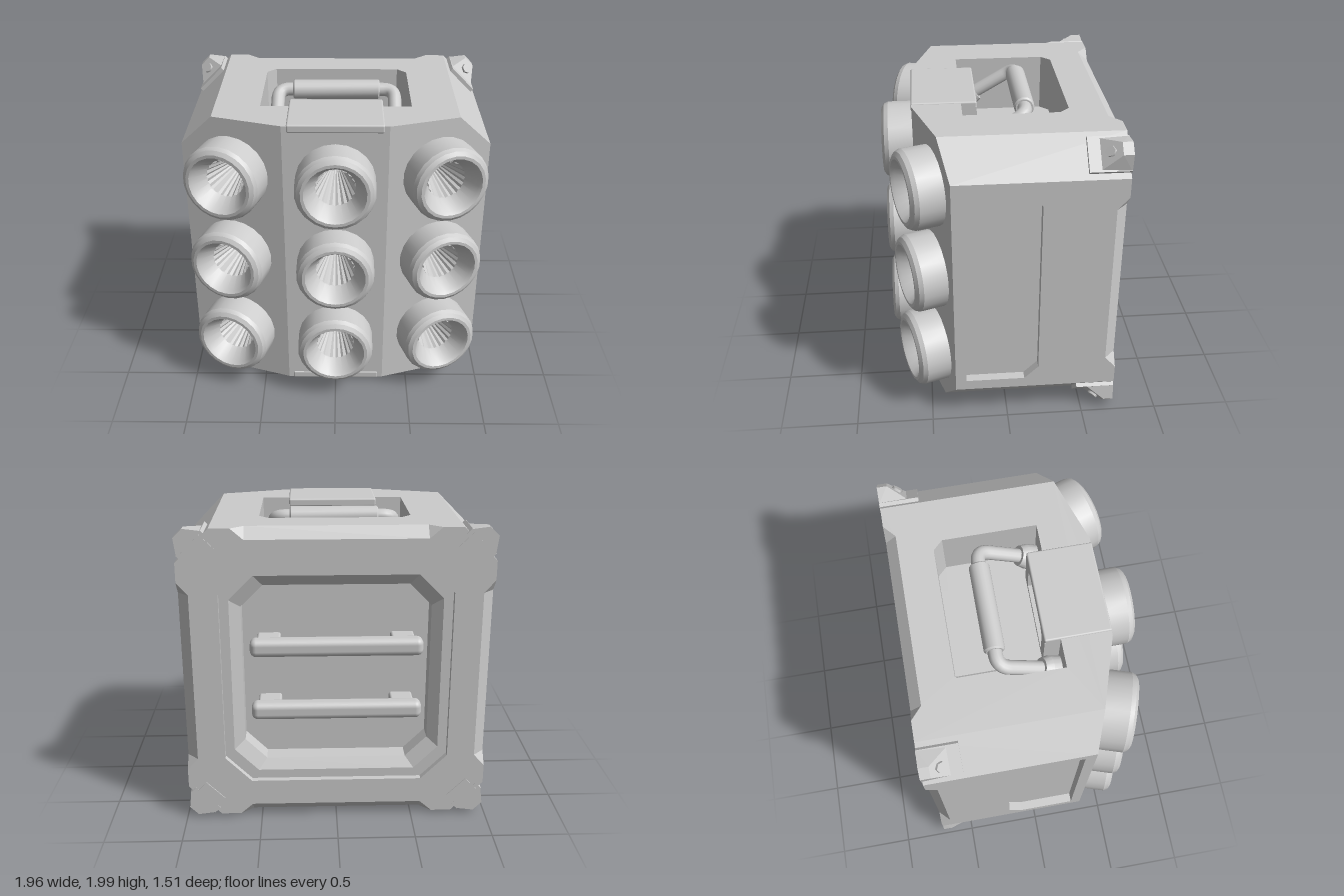
import * as THREE from 'three';
import { mergeGeometries, toCreasedNormals } from 'three/addons/utils/BufferGeometryUtils.js';
import { RoundedBoxGeometry } from 'three/addons/geometries/RoundedBoxGeometry.js';
import { ConvexGeometry } from 'three/addons/geometries/ConvexGeometry.js';

// Half sizes of the body, corner chamfer, front and back planes (y measured from mid height)
const W = 0.98, H = 0.975, C = 0.21, F = 0.55, B = 0.71, MID = 1.005;
const FX = 0.33, SLOPE = 0.323, TILT = 0.313;
const ROWS = [-0.605, 0, 0.605];

const grey = new THREE.MeshStandardMaterial({ color: 0xcccccc, side: THREE.DoubleSide });
grey.name = 'light grey';

const frontZ = (x) => F - Math.max(0, Math.abs(x) - FX) * SLOPE;
const vec = (p) => p.map(([x, y]) => new THREE.Vector2(x, y));

function add(parent, name, geo, x = 0, y = 0, z = 0) {
  const m = new THREE.Mesh(geo, grey);
  m.name = name;
  m.position.set(x, y, z);
  parent.add(m);
  return m;
}

function triangles(points) {
  const g = new THREE.BufferGeometry();
  g.setAttribute('position', new THREE.Float32BufferAttribute(points.flat(), 3));
  g.computeVertexNormals();
  return g;
}

// Flat polygon with holes, placed in space by map(u, v, depth)
function face(map, outline, holes = [], depth = 0) {
  const shape = new THREE.Shape(vec(outline));
  holes.forEach((h) => shape.holes.push(new THREE.Path(vec(h))));
  const p = new THREE.ShapeGeometry(shape).toNonIndexed().attributes.position;
  const out = [];
  for (let i = 0; i < p.count; i++) out.push(map(p.getX(i), p.getY(i), depth));
  return triangles(out);
}

// Recess made of loops at growing depths, closed by a floor
function pocket(map, rings) {
  const out = [];
  for (let r = 0; r + 1 < rings.length; r++) {
    const [a, da] = rings[r], [b, db] = rings[r + 1];
    a.forEach((_, i) => {
      const j = (i + 1) % a.length;
      const p = map(...a[i], da), q = map(...a[j], da), s = map(...b[j], db), t = map(...b[i], db);
      out.push(p, q, s, p, s, t);
    });
  }
  const [floor, d] = rings[rings.length - 1];
  return mergeGeometries([triangles(out), face(map, floor, [], d)]);
}

const octagon = (a, b, c) => [[a, -b + c], [a, b - c], [a - c, b], [-a + c, b],
  [-a, b - c], [-a, -b + c], [-a + c, -b], [a - c, -b]];

const ellipse = (cx, cy, rx, ry) => Array.from({ length: 24 }, (_, i) => {
  const t = (i / 24) * Math.PI * 2;
  return [cx + Math.cos(t) * rx, cy + Math.sin(t) * ry];
});

// Tapered bevel cut into a back edge
function bevel(map) {
  const a = [0.64, 0, 0], b = [0.56, 0, 0.07], c = [0.56, 0.07, 0];
  const m = ([u, d, z]) => map(u, z - B, d), n = ([u, d, z]) => map(-u, z - B, d);
  return triangles([m(b), n(b), n(c), m(b), n(c), m(c), m(a), m(b), m(c), n(a), n(c), n(b)]);
}

function buildBody(body) {
  // Front: centre panel and two slanted panels with openings for the barrels
  const flat = (u, v) => [u, v, frontZ(u)];
  add(body, 'frontCentrePanel', face(flat, [[-FX, -H], [FX, -H], [FX, H], [-FX, H]],
    ROWS.map((y) => ellipse(0, y, 0.16, 0.16))));
  for (const s of [1, -1]) {
    add(body, 'frontSlantedPanel', face((u, v) => [s * u, v, frontZ(u)],
      [[FX, -H], [W - C, -H], [W, -H + C], [W, H - C], [W - C, H], [FX, H]],
      ROWS.map((y) => ellipse(0.66, y, 0.152, 0.16))));

    // Top and bottom, each with a deep handle recess
    const top = (u, v, d) => [u, s * (H - d), v];
    const well = [[0.48, 0.24], [0.48, -0.36], [0.42, -0.42], [-0.42, -0.42], [-0.48, -0.36], [-0.48, 0.24]];
    const e = W - C;
    add(body, 'endPanel', face(top, [[-e, -B], [-0.64, -B], [-0.56, 0.07 - B], [0.56, 0.07 - B], [0.64, -B],
      [e, -B], [e, frontZ(e)], [FX, F], [-FX, F], [-e, frontZ(e)]], [well]));
    add(body, 'handleRecess', pocket(top, [[well, 0], [well, 0.38]]));
    add(body, 'endEdgeBevel', bevel(top));

    // Sides, each with a shallow panel recess
    const side = (u, v, d) => [s * (W - d), v, u];
    const k = H - C, zf = frontZ(W);
    const inset = [[0.27, -0.695], [0.27, 0.695], [-0.11, 0.695], [-0.2, 0.605], [-0.2, -0.605], [-0.11, -0.695]];
    add(body, 'sidePanel', face(side, [[-B, -k], [-B, -0.64], [0.07 - B, -0.56], [0.07 - B, 0.56], [-B, 0.64],
      [-B, k], [zf, k], [zf, -k]], [inset]));
    add(body, 'sideRecess', pocket(side, [[inset, 0], [inset, 0.06]]));
    add(body, 'sideEdgeBevel', bevel((u, z, d) => side(z, u, d)));

    // Corner chamfers
    for (const t of [1, -1]) {
      const p = [s * e, t * H], q = [s * W, t * k];
      const a = [...p, -B], b = [...q, -B], c = [...q, zf], d = [...p, frontZ(e)];
      add(body, 'cornerChamfer', triangles([a, b, c, a, c, d]));
    }
  }

  // Back with a stepped octagonal recess
  const back = (u, v, d) => [u, v, d - B];
  const half = [[W, C - H], [W, -0.64], [W - 0.07, -0.56], [W - 0.07, 0.56], [W, 0.64], [W, H - C],
    [W - C, H], [0.64, H], [0.56, H - 0.07], [-0.56, H - 0.07], [-0.64, H], [C - W, H]];
  const rim = octagon(0.73, 0.73, 0.17), lip = octagon(0.67, 0.67, 0.155), inner = octagon(0.6, 0.6, 0.14);
  add(body, 'backPanel', face(back, [...half, ...half.map(([x, y]) => [-x, -y])], [rim]));
  add(body, 'backRecess', pocket(back, [[rim, 0], [rim, 0.04], [lip, 0.04], [inner, 0.08], [inner, 0.2]]));
}

// Barrel with rounded muzzle and a fluted funnel inside
function buildBarrel() {
  const g = new THREE.Group();
  g.name = 'barrel';
  const shell = new THREE.LatheGeometry(vec([[0.253, -0.09], [0.253, 0.16], [0.24, 0.188], [0.215, 0.205],
    [0.195, 0.205], [0.18, 0.185], [0.128, 0.09], [0.124, 0.06]]), 22);
  add(g, 'barrelShell', toCreasedNormals(shell.rotateX(Math.PI / 2), 0.4));
  const funnel = new THREE.CylinderGeometry(0.128, 0.004, 0.4, 40, 1, true);
  const p = funnel.attributes.position;
  for (let i = 0; i < p.count; i++) {
    const k = (i % 41) % 2 ? 0.93 : 1;
    p.setX(i, p.getX(i) * k);
    p.setZ(i, p.getZ(i) * k);
  }
  const flutes = funnel.toNonIndexed();
  flutes.computeVertexNormals();
  add(g, 'barrelFunnel', flutes.rotateX(Math.PI / 2), 0, 0, -0.11);
  return g;
}

// Carry handle with arms sloping down to deep sockets, and the bridge in front of it
function buildHandle() {
  const g = new THREE.Group();
  g.name = 'carryHandle';
  const y = 0.93, low = 0.71;
  const v = (s, x, yy, z) => new THREE.Vector3(s * x, yy, z);
  const ends = (s) => [v(s, 0.39, low, 0.22), v(s, 0.39, 0.89, -0.09), v(s, 0.39, y, -0.16), v(s, 0.31, y, -0.16)];
  const [a, b, c, d] = ends(-1), [e, f, h, i] = ends(1);
  const path = new THREE.CurvePath();
  path.add(new THREE.LineCurve3(a, b));
  path.add(new THREE.QuadraticBezierCurve3(b, c, d));
  path.add(new THREE.LineCurve3(d, i));
  path.add(new THREE.QuadraticBezierCurve3(i, h, f));
  path.add(new THREE.LineCurve3(f, e));
  add(g, 'handleTube', new THREE.TubeGeometry(path, 90, 0.045, 14));
  const grip = new THREE.LatheGeometry(vec([[0.04, -0.29], [0.055, -0.29], [0.065, -0.28],
    [0.065, 0.28], [0.055, 0.29], [0.04, 0.29]]), 20);
  add(g, 'handleGrip', toCreasedNormals(grip.rotateZ(Math.PI / 2), 0.5), 0, y, -0.16);
  for (const s of [1, -1]) {
    const profile = vec([[0.04, -0.13], [0.065, -0.13], [0.08, -0.08], [0.08, 0.02]]);
    const socket = new THREE.LatheGeometry(profile, 18).rotateX(Math.PI / 2);
    const m = add(g, 'handleSocket', toCreasedNormals(socket, 0.4), s * 0.39, low, 0.22);
    m.rotation.x = Math.atan2(0.89 - low, 0.31);
  }
  add(g, 'bridgePlate', new RoundedBoxGeometry(0.6, 0.055, 0.415, 2, 0.012), 0, 0.957, 0.3475);
  const frame = new THREE.Shape(vec([[-0.3, 0.59], [0.3, 0.59], [0.3, 0.95], [-0.3, 0.95]]));
  frame.holes.push(new THREE.Path(vec([[-0.22, 0.66], [0.22, 0.66], [0.22, 0.86], [0.17, 0.91], [-0.17, 0.91], [-0.22, 0.86]])));
  add(g, 'bridgeFrame', new THREE.ExtrudeGeometry(frame, { depth: 0.1, bevelEnabled: false }), 0, 0, 0.142);
  add(g, 'recessFloorStrip', new THREE.BoxGeometry(0.6, 0.03, 0.56), 0, 0.605, -0.138);
  return g;
}

// Corner lug: local y points outward from the chamfer, x runs along it
function buildLug() {
  const g = new THREE.Group();
  g.name = 'cornerLug';
  add(g, 'lugBase', new THREE.BoxGeometry(0.22, 0.055, 0.25), 0, -0.002, -0.588);
  const pts = [];
  for (const s of [1, -1]) {
    for (const [t, h, z] of [[0.1, 0.02, -0.53], [0.11, 0.02, -0.713], [0.04, 0.11, -0.65], [0.04, 0.11, -0.713]]) {
      pts.push(new THREE.Vector3(s * t, h, z));
    }
  }
  add(g, 'lugRamp', new ConvexGeometry(pts));
  add(g, 'lugBackPlate', new THREE.BoxGeometry(0.17, 0.12, 0.03), 0, -0.045, -0.701);
  const bolt = add(g, 'lugBolt', new THREE.CylinderGeometry(0.034, 0.036, 0.03, 6).toNonIndexed(), 0, 0.065, -0.59);
  bolt.rotation.x = 0.66;
  return g;
}

export function createModel() {
  const model = new THREE.Group();
  model.name = 'launcherPod';
  const core = new THREE.Group();
  core.name = 'core';
  core.position.y = MID;
  model.add(core);

  const body = new THREE.Group();
  body.name = 'body';
  core.add(body);
  buildBody(body);

  // Three columns of barrels, outer columns angled outward
  for (const s of [-1, 0, 1]) {
    for (const y of ROWS) {
      const b = buildBarrel();
      b.position.set(s * 0.665, y, frontZ(0.665 * s));
      b.rotation.y = s * TILT;
      core.add(b);
    }
  }

  // Handles at top and bottom
  for (const a of [0, Math.PI]) {
    const h = buildHandle();
    h.rotation.z = a;
    core.add(h);
  }

  // Lugs on the four back corners
  for (const sx of [1, -1]) {
    for (const sy of [1, -1]) {
      const lug = buildLug();
      lug.position.set(sx * (W - C / 2), sy * (H - C / 2), 0);
      lug.rotation.z = Math.atan2(sy, sx) - Math.PI / 2;
      core.add(lug);
    }
  }

  // Grab bars with brackets in the back recess
  for (const y of [-0.215, 0.215]) {
    add(core, 'grabBar', new RoundedBoxGeometry(1.09, 0.115, 0.11, 3, 0.04), 0, y, -0.7);
    for (const s of [1, -1]) {
      add(core, 'grabBarBracket', new RoundedBoxGeometry(0.15, 0.06, 0.2, 2, 0.015), s * 0.43, y, -0.58);
    }
  }
  return model;
}
